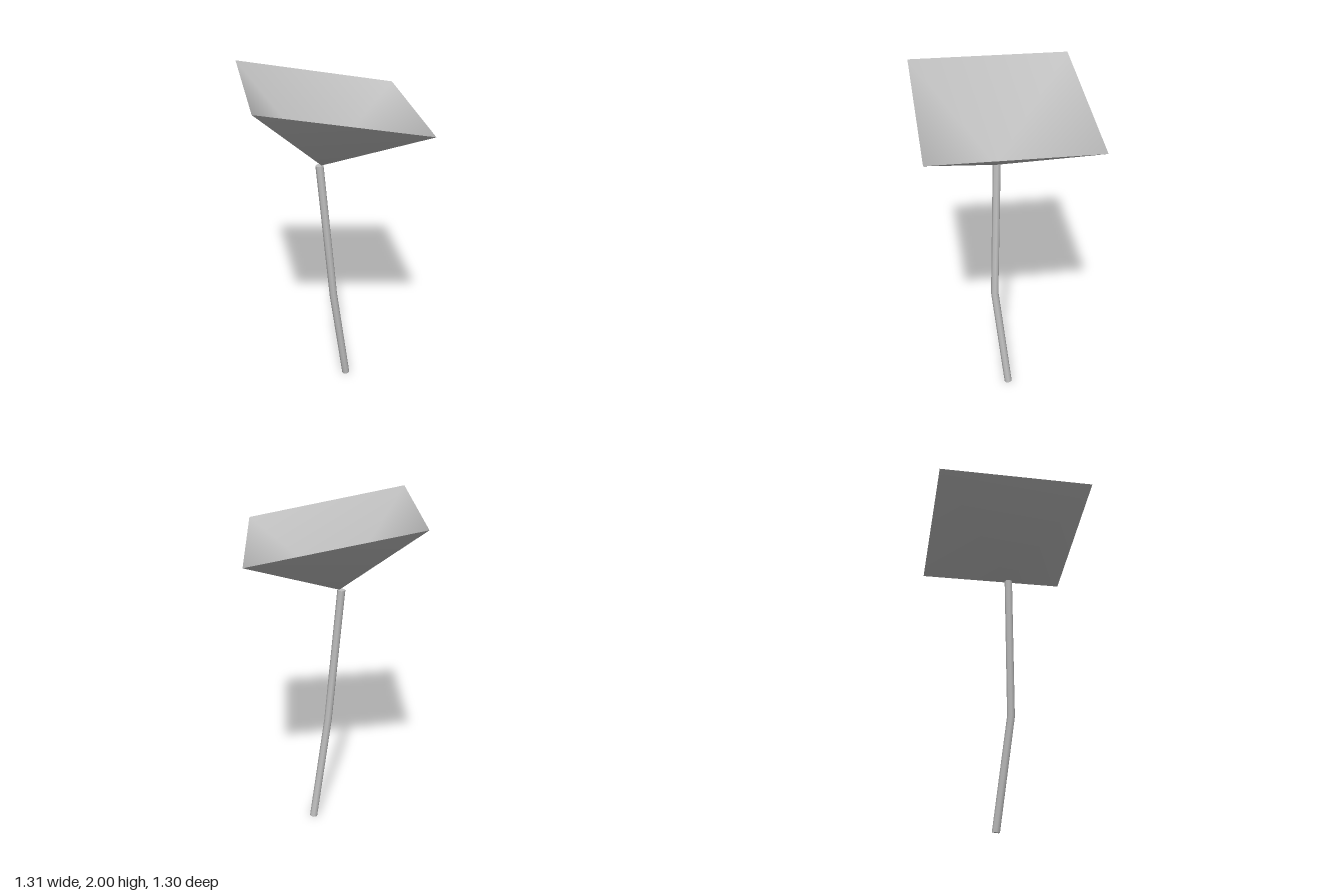
import * as THREE from 'three';

const V = (x, y, z) => new THREE.Vector3(x, y, z);

// Open four-sided funnel, smooth shaded: one apex and a tilted square rim
function funnelGeometry() {
  const apex = V(-0.02, 1.51, 0.05);
  const rim = [V(0.655, 1.82, 0), V(0, 2, 0.65), V(-0.655, 1.985, 0), V(0, 1.805, -0.655)];
  const geometry = new THREE.BufferGeometry().setFromPoints([apex, ...rim]);
  const index = [];
  for (let i = 0; i < 4; i++) index.push(0, 1 + i, 1 + ((i + 1) % 4));
  geometry.setIndex(index);
  geometry.computeVertexNormals();
  return geometry;
}

// Cylinder whose three rings are moved onto a bent centre line
function stemGeometry(radius) {
  const path = [V(0.062, 0.004, -0.095), V(0.043, 0.66, 0.022), V(-0.03, 1.51, 0.056)];
  const up = V(0, 1, 0);
  const turns = path.map((p, i) => {
    const tangent = path[Math.min(i + 1, 2)].clone().sub(path[Math.max(i - 1, 0)]).normalize();
    return new THREE.Quaternion().setFromUnitVectors(up, tangent);
  });
  const geometry = new THREE.CylinderGeometry(radius, radius, 2, 8, 2);
  const position = geometry.attributes.position;
  const normal = geometry.attributes.normal;
  const v = V(0, 0, 0);
  for (let i = 0; i < position.count; i++) {
    const row = Math.round(position.getY(i) + 1);
    v.set(position.getX(i), 0, position.getZ(i)).applyQuaternion(turns[row]).add(path[row]);
    position.setXYZ(i, v.x, v.y, v.z);
    v.fromBufferAttribute(normal, i).applyQuaternion(turns[row]);
    normal.setXYZ(i, v.x, v.y, v.z);
  }
  return geometry;
}

export function createModel() {
  const group = new THREE.Group();
  const grey = new THREE.MeshStandardMaterial({ color: 0xc0c0c0, side: THREE.DoubleSide });
  grey.name = 'light grey';

  const funnel = new THREE.Mesh(funnelGeometry(), grey);
  funnel.name = 'flowerFunnel';
  const stem = new THREE.Mesh(stemGeometry(0.023), grey);
  stem.name = 'stem';

  group.add(funnel, stem);
  return group;
}
